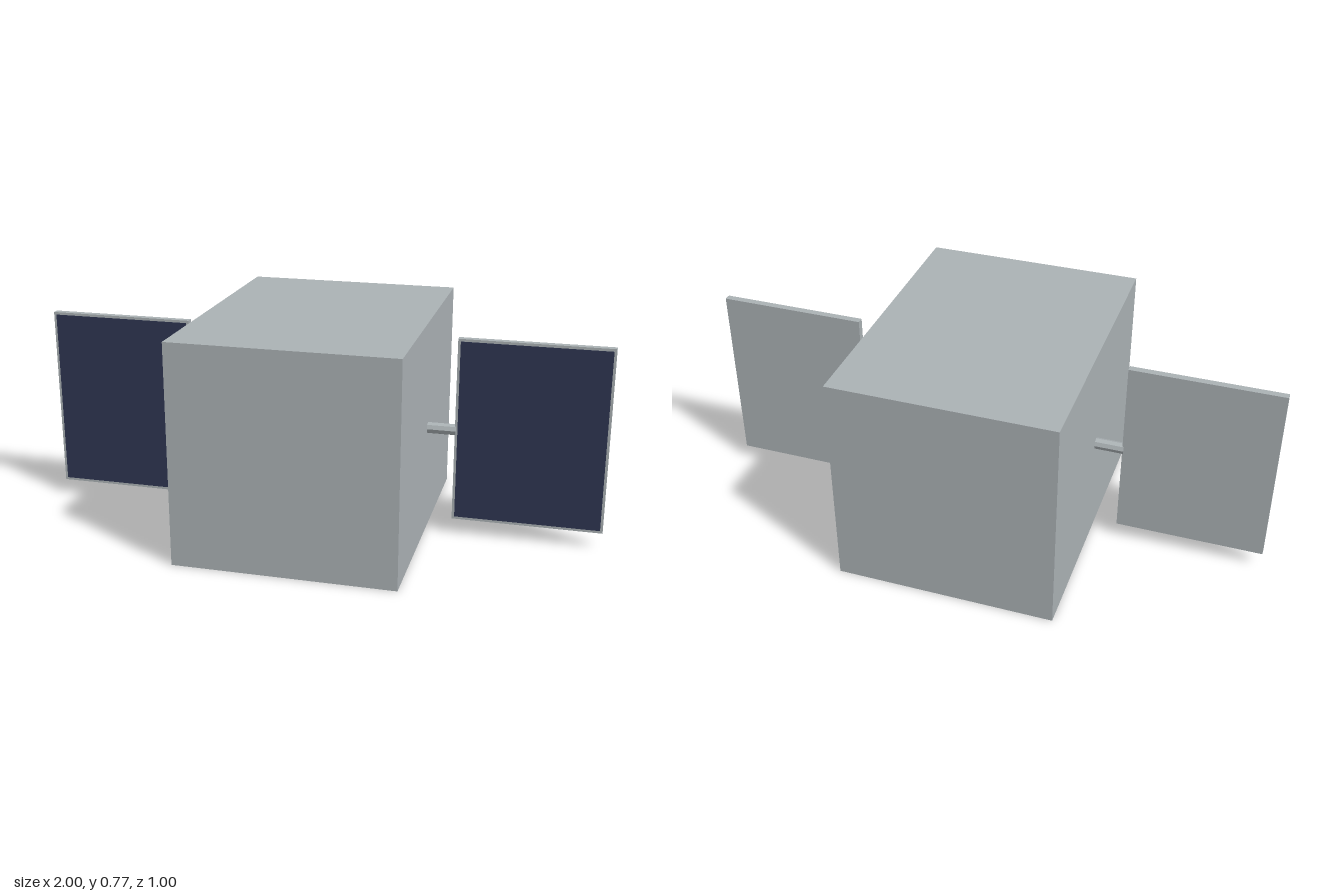
import * as THREE from 'three';

export function createModel() {
  const model = new THREE.Group();
  model.name = 'satellite';

  const hull = new THREE.MeshStandardMaterial({ color: 0xabb2b5, flatShading: true });
  hull.name = 'hull grey';
  const solar = new THREE.MeshStandardMaterial({ color: 0x2e3652, flatShading: true });
  solar.name = 'solar navy';

  const add = (parent, name, geometry, material, x, y, z) => {
    const mesh = new THREE.Mesh(geometry, material);
    mesh.name = name;
    mesh.position.set(x, y, z);
    parent.add(mesh);
    return mesh;
  };

  // Main body
  const midY = 0.385;
  add(model, 'body', new THREE.BoxGeometry(0.768, 0.77, 1), hull, 0, midY, 0);

  // One wing on each side: eight-sided strut, framed panel, solar face at the front
  for (const side of [1, -1]) {
    const wing = new THREE.Group();
    wing.name = side > 0 ? 'leftWing' : 'rightWing';
    model.add(wing);

    const strut = new THREE.CylinderGeometry(0.02, 0.02, 0.108, 8).rotateZ(Math.PI / 2);
    add(wing, 'strut', strut, hull, side * 0.43, midY, 0);
    add(wing, 'panelFrame', new THREE.BoxGeometry(0.52, 0.654, 0.024), hull, side * 0.74, midY, 0);
    add(wing, 'solarFace', new THREE.BoxGeometry(0.502, 0.636, 0.004), solar, side * 0.74, midY, 0.011);
  }

  return model;
}
